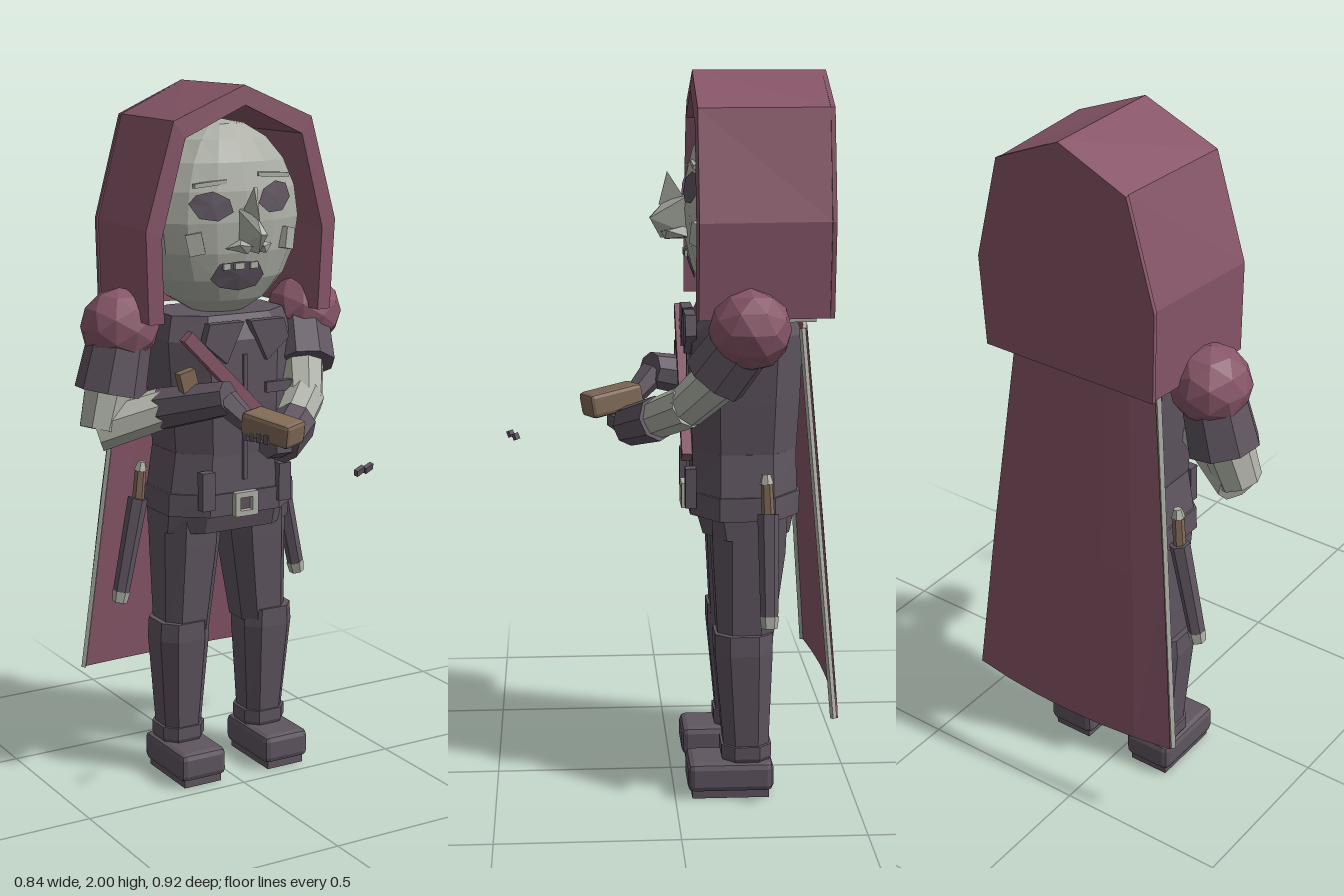
import * as THREE from 'three';
import { ConvexGeometry } from 'three/addons/geometries/ConvexGeometry.js';
import { RoundedBoxGeometry } from 'three/addons/geometries/RoundedBoxGeometry.js';

const material = (name, color) =>
  new THREE.MeshStandardMaterial({ name, color, flatShading: true, side: THREE.DoubleSide });
const V = (p) => new THREE.Vector3(...p);
const V2 = ([x, y]) => new THREE.Vector2(x, y);
const CX = 0.03; // the body's middle line

export function createModel() {
  const root = new THREE.Group();
  root.name = 'hoodedFigure';
  const red = material('wine cloth', 0x875668);
  const dark = material('dark clothing', 0x5f5560);
  const pale = material('pale grey', 0xaeb1a7);
  const brown = material('brown leather', 0x806956);

  const add = (name, geometry, mat, pos = [0, 0, 0], rot = [0, 0, 0]) => {
    const m = new THREE.Mesh(geometry, mat);
    m.name = name;
    m.position.set(...pos);
    m.rotation.set(...rot);
    root.add(m);
    return m;
  };
  const box = (name, mat, size, pos, rot) => add(name, new THREE.BoxGeometry(...size), mat, pos, rot);
  const bevelBox = (name, mat, size, bevel, pos, rot) =>
    add(name, new RoundedBoxGeometry(...size, 1, bevel), mat, pos, rot);
  const hull = (name, mat, points) => add(name, new ConvexGeometry(points.map(V)), mat);

  // tapered prism between two points
  const limb = (name, mat, a, b, ra, rb, sides = 8) => {
    const from = V(a), dir = V(b).sub(from);
    const m = add(name, new THREE.CylinderGeometry(rb, ra, dir.length(), sides), mat);
    m.position.copy(from).addScaledVector(dir, 0.5);
    m.quaternion.setFromUnitVectors(new THREE.Vector3(0, 1, 0), dir.normalize());
  };

  const mesh = (positions, index) => {
    const g = new THREE.BufferGeometry();
    g.setAttribute('position', new THREE.Float32BufferAttribute(positions, 3));
    g.setIndex(index);
    g.computeVertexNormals();
    return g;
  };
  // surface through rows of points, optionally closed along each row
  const skin = (rows, closed = false) => {
    const n = rows[0].length, index = [];
    for (let r = 0; r < rows.length - 1; r++)
      for (let i = 0; i < (closed ? n : n - 1); i++) {
        const a = r * n + i, b = r * n + (i + 1) % n;
        index.push(a, a + n, b, b, a + n, b + n);
      }
    const t = (rows.length - 1) * n;
    if (closed) for (let i = 1; i < n - 1; i++) index.push(0, i, i + 1, t, t + i + 1, t + i);
    return mesh(rows.flat(2), index);
  };
  // stacked chamfered rectangles: [y, x, z, halfWidth, halfDepth], from the top down
  const corners = [[1, 0.5], [1, -0.5], [0.55, -1], [-0.55, -1], [-1, -0.5], [-1, 0.5], [-0.55, 1], [0.55, 1]];
  const loft = (name, mat, rings) => add(name, skin(rings.map(([y, x, z, w, d]) =>
    corners.map(([u, v]) => [x + u * w, y, z + v * d])), true), mat);

  // hood: outer shell, front rim, lining and back panel
  const outline = (k, z, w) =>
    [[-0.98, 1.365], [-1, 1.62], [-0.71, 1.91], [0.02, 2], [0.73, 1.91], [1, 1.62], [0.95, 1.365]]
      .map(([u, y]) => [CX + u * w, 1.365 + (y - 1.365) * k, z]);
  add('hood', skin([outline(1, -0.405, 0.272), outline(1, -0.055, 0.302),
    outline(0.915, -0.05, 0.256), outline(0.915, -0.385, 0.24)]), red);
  const back = new THREE.Shape(outline(1, 0, 0.277).map(V2));
  add('hoodBack', new THREE.ExtrudeGeometry(back, { depth: 0.012, bevelEnabled: false }), red, [0, 0, -0.415]);

  // head: sphere with a flattened face
  const head = { y: 1.63, z: -0.21, rx: 0.235, ry: 0.275, rz: 0.178 };
  const skull = new THREE.SphereGeometry(1, 16, 10);
  const sp = skull.attributes.position;
  for (let i = 0; i < sp.count; i++) {
    const z = sp.getZ(i);
    sp.setXYZ(i, CX + sp.getX(i) * head.rx, head.y + sp.getY(i) * head.ry,
      head.z + Math.sign(z) * Math.abs(z) ** 0.7 * head.rz);
  }
  skull.computeVertexNormals();
  add('head', skull, pale);
  const faceZ = (x, y) => head.z + head.rz *
    Math.max(0, 1 - ((x - CX) / head.rx) ** 2 - ((y - head.y) / head.ry) ** 2) ** 0.35;
  // painted fan that follows the face
  const facePatch = (name, center, rim) => {
    const pts = [center, ...rim].map(([x, y]) => [x, y, faceZ(x, y) + 0.006]);
    add(name, mesh(pts.flat(), rim.flatMap((_, i) => [0, i + 1, (i + 1) % rim.length + 1])), dark);
  };
  facePatch('rightEye', [-0.075, 1.678], [[-0.135, 1.685], [-0.11, 1.645], [-0.06, 1.637], [-0.015, 1.66], [-0.025, 1.695], [-0.07, 1.718], [-0.115, 1.708]]);
  facePatch('leftEye', [0.125, 1.695], [[0.065, 1.68], [0.1, 1.653], [0.15, 1.655], [0.186, 1.69], [0.172, 1.728], [0.13, 1.738], [0.083, 1.718]]);
  facePatch('mouth', [0.015, 1.48], [[-0.07, 1.475], [-0.04, 1.45], [0.02, 1.438], [0.075, 1.448], [0.095, 1.48], [0.07, 1.517], [0.01, 1.523], [-0.05, 1.517]]);
  for (const [x, w] of [[-0.03, 0.022], [0.008, 0.03], [0.055, 0.025]])
    box('tooth', pale, [w, 0.018, 0.008], [x, 1.51, faceZ(x, 1.51) + 0.008]);
  for (const [x, y, a] of [[-0.075, 1.738, 0.08], [0.125, 1.755, -0.06]])
    box('brow', pale, [0.1, 0.012, 0.016], [x, y, faceZ(x, y) + 0.002], [0, 0, a]);
  for (const s of [-1, 1]) {
    const x = CX + s * 0.146;
    box('cheekPlate', pale, [0.045, 0.06, 0.025], [x, 1.575, faceZ(x, 1.575)], [0, s * 0.5, -s * 0.2]);
    hull('nostril', pale, [[CX + s * 0.015, 1.585, -0.04], [CX + s * 0.065, 1.56, -0.04], [CX + s * 0.015, 1.55, -0.04],
      [CX + s * 0.05, 1.575, 0.015], [CX + s * 0.018, 1.57, 0.03], [CX + s * 0.03, 1.55, 0.02]]);
  }
  hull('nose', pale, [[0.005, 1.67, -0.05], [0.055, 1.67, -0.05], [0.005, 1.56, -0.05], [0.055, 1.56, -0.05],
    [0.02, 1.605, 0.06], [0.04, 1.605, 0.06], [0.03, 1.55, 0.03], [0.03, 1.65, 0.02]]);
  hull('noseBridge', pale, [[0.025, 1.73, 0.012], [0.035, 1.73, 0.012], [0.015, 1.65, -0.04], [0.045, 1.65, -0.04], [0.03, 1.64, 0.035]]);

  // jacket, skirt and belt
  loft('jacket', dark, [[1.37, CX, -0.2, 0.18, 0.12], [1.3, CX, -0.2, 0.2, 0.15], [1.12, CX, -0.195, 0.19, 0.15],
    [0.93, CX, -0.195, 0.175, 0.14]]);
  loft('jacketSkirt', dark, [[0.98, CX, -0.195, 0.18, 0.142], [0.85, CX, -0.195, 0.2, 0.145], [0.745, CX, -0.2, 0.2, 0.12]]);
  loft('belt', dark, [[0.865, CX, -0.195, 0.204, 0.152], [0.8, CX, -0.195, 0.207, 0.15]]);
  const rect = (w, h) => [[-w, -h], [w, -h], [w, h], [-w, h]].map(V2);
  const buckle = new THREE.Shape(rect(0.037, 0.035));
  buckle.holes.push(new THREE.Path(rect(0.02, 0.019)));
  add('buckle', new THREE.ExtrudeGeometry(buckle, { depth: 0.02, bevelEnabled: false }), pale, [0.026, 0.832, -0.046]);
  box('jacketSeam', dark, [0.012, 0.36, 0.01], [CX, 1.08, -0.046]);
  for (const s of [-1, 1]) {
    const x = (u) => CX + s * u;
    hull('collar', dark, [-0.06, -0.03].flatMap((z) => [[x(0.01), 1.355, z], [x(0.12), 1.355, z],
      [x(0.135), 1.3, z], [x(0.065), 1.24, z]]));
    box('pouch', dark, [0.04, 0.11, 0.03], [x(0.125), 0.88, -0.045]);
    box('breastFlap', dark, [0.09, 0.03, 0.02], [x(0.11), 1.16, -0.045]);

    // legs, boots and shoes
    loft('thigh', dark, [[0.85, x(0.105), -0.205, 0.095, 0.105], [0.7, x(0.11), -0.205, 0.09, 0.1], [0.44, x(0.128), -0.195, 0.072, 0.075]]);
    loft('bootShaft', dark, [[0.475, x(0.14), -0.19, 0.076, 0.08], [0.42, x(0.14), -0.19, 0.08, 0.08], [0.13, x(0.138), -0.2, 0.058, 0.062]]);
    loft('ankle', dark, [[0.15, x(0.138), -0.2, 0.068, 0.07], [0.115, x(0.138), -0.2, 0.068, 0.07], [0.08, x(0.138), -0.2, 0.05, 0.055]]);
    bevelBox('shoe', dark, [0.148, 0.085, 0.24], 0.018, [x(0.14), 0.062, -0.155]);
    box('sole', dark, [0.12, 0.03, 0.215], [x(0.14), 0.015, -0.155]);

    // sheathed dagger at the hip
    limb('daggerHandle', brown, [x(0.23), 0.915, -0.243], [x(0.238), 0.82, -0.247], 0.016, 0.018, 6);
    limb('daggerPommel', pale, [x(0.227), 0.938, -0.242], [x(0.23), 0.912, -0.243], 0.012, 0.02, 6);
    limb('sheath', dark, [x(0.238), 0.83, -0.247], [x(0.297), 0.555, -0.247], 0.029, 0.024, 6);
    limb('sheathTip', pale, [x(0.295), 0.56, -0.247], [x(0.302), 0.528, -0.247], 0.026, 0.022, 6);

    // shoulder puff
    add('shoulder', new THREE.IcosahedronGeometry(0.11, 1), red, [s > 0 ? 0.313 : -0.277, 1.34, s > 0 ? -0.19 : -0.21]);
  }

  // strap across the chest
  box('chestStrap', red, [0.036, 0.5, 0.028], [0.01, 1.15, -0.033], [0, 0, 0.77]);
  box('strapHolder', brown, [0.05, 0.1, 0.03], [-0.155, 1.185, -0.035], [0, 0, 0.25]);

  // right arm
  limb('rightSleeve', dark, [-0.275, 1.33, -0.205], [-0.315, 1.16, -0.2], 0.088, 0.1);
  limb('rightElbow', pale, [-0.315, 1.19, -0.2], [-0.355, 1.06, -0.185], 0.072, 0.062);
  limb('rightForearm', pale, [-0.36, 1.06, -0.195], [-0.18, 1.12, -0.115], 0.064, 0.058);
  limb('rightGlove', dark, [-0.19, 1.115, -0.12], [-0.08, 1.165, 0.055], 0.062, 0.05);
  limb('rightHand', dark, [-0.085, 1.155, 0.045], [-0.045, 1.1, 0.1], 0.04, 0.03, 6);

  // left arm
  limb('leftSleeve', dark, [0.3, 1.33, -0.19], [0.262, 1.2, -0.1], 0.085, 0.09);
  limb('leftElbow', pale, [0.275, 1.23, -0.14], [0.21, 1.11, -0.025], 0.068, 0.058);
  limb('leftForearm', pale, [0.22, 1.12, -0.035], [0.115, 1.06, 0.06], 0.06, 0.055);
  limb('leftGlove', dark, [0.14, 1.07, 0.045], [0.045, 1.03, 0.12], 0.063, 0.056);
  limb('leftHand', dark, [0.05, 1.035, 0.115], [-0.015, 1.04, 0.155], 0.042, 0.032, 6);

  // held leather case with finger tips around it
  bevelBox('heldCase', brown, [0.088, 0.068, 0.16], 0.012, [-0.005, 1.095, 0.165], [0.16, 0.4, 0]);
  for (let i = 0; i < 4; i++)
    box('finger', dark, [0.03, 0.025, 0.016], [-0.055 + i * 0.008, 1.07, 0.115 + i * 0.023], [0, 0.4, 0]);

  // cape, bowed slightly to the rear, with a pale hem on its sides and top
  const capeRow = (y, w, z, bow) => Array.from({ length: 7 }, (_, i) => {
    const u = i / 3 - 1;
    return [CX + u * w, y - (1 - u * u) * 0.005, z - (1 - u * u) * bow];
  });
  const outer = [capeRow(1.335, 0.23, -0.345, 0.02), capeRow(0.8, 0.288, -0.39, 0.024), capeRow(0.283, 0.338, -0.432, 0.026)];
  const inner = outer.map((row) => row.map(([x, y, z]) => [x, y, z + 0.012]));
  add('cape', skin([...outer].reverse()), red);
  add('capeLining', skin(inner), red);
  add('capeHem', skin([inner[2], outer[2]]), red);
  add('capeTopEdge', skin([outer[0], inner[0]]), pale);
  for (const i of [0, 6])
    limb('capeEdge', pale, inner[0][i], inner[2][i], 0.009, 0.009, 4);
  box('neckPiece', pale, [0.4, 0.012, 0.13], [CX, 1.352, -0.31]);

  // two small chips floating ahead of the figure
  for (const [x, z] of [[0.09, 0.445], [0.127, 0.43]])
    box('floatingChip', dark, [0.03, 0.018, 0.012], [x, 1.022, z], [0.3, 0.35, 0.2]);

  return root;
}
